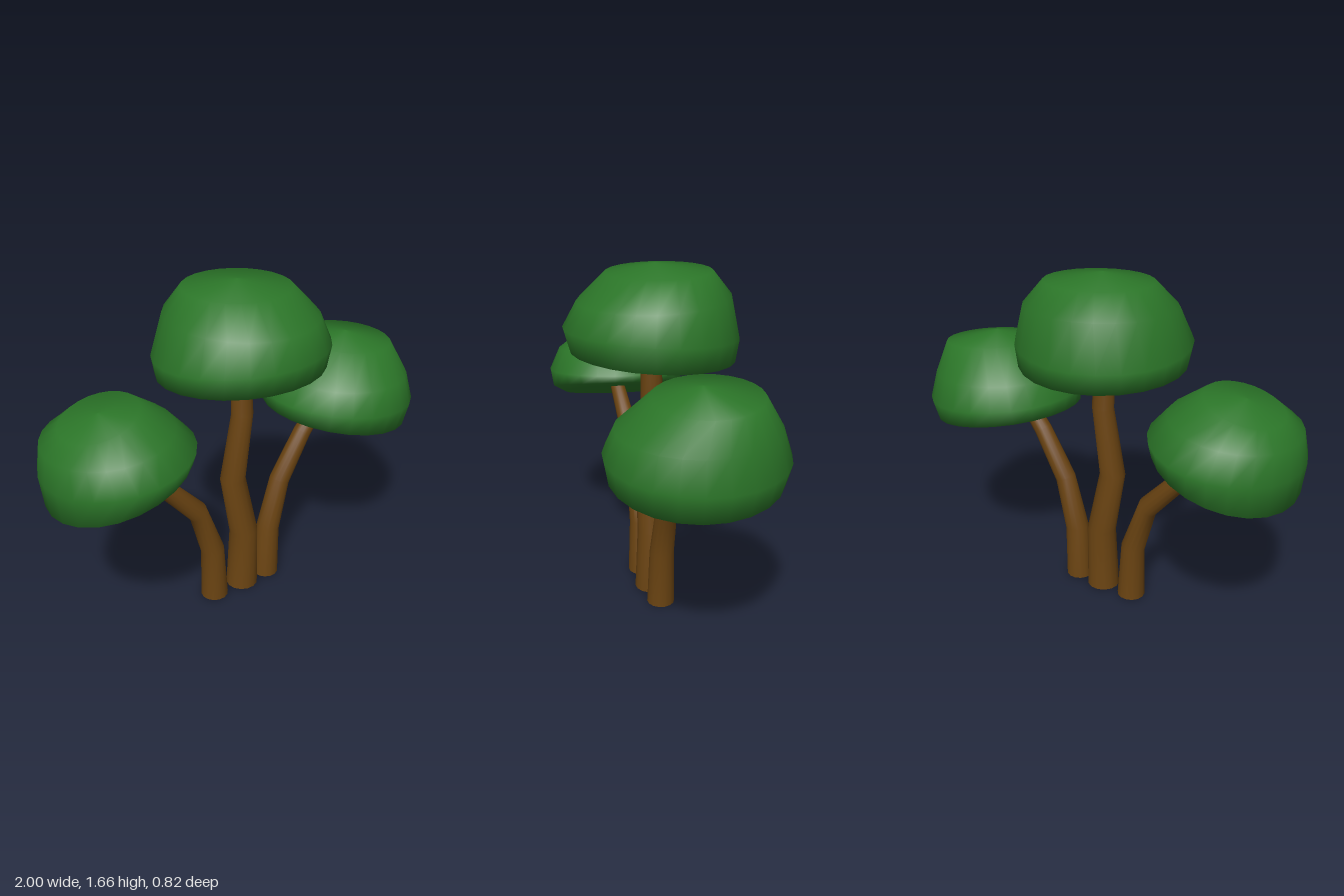
import * as THREE from 'three';

const bark = new THREE.MeshStandardMaterial({ color: 0x6b4412 });
const leaf = new THREE.MeshStandardMaterial({ color: 0x2b7528 });

// Skin a stack of elliptical rings; each ring has a centre c and half axes u and v.
function loft(rings, sides) {
  const pos = [], index = [];
  for (const { c, u, v } of rings) {
    for (let j = 0; j < sides; j++) {
      const a = (j / sides) * Math.PI * 2;
      for (let k = 0; k < 3; k++) pos.push(c[k] + u[k] * Math.cos(a) + v[k] * Math.sin(a));
    }
  }
  for (let i = 0; i < rings.length - 1; i++) {
    for (let j = 0; j < sides; j++) {
      const a = i * sides + j, b = i * sides + ((j + 1) % sides);
      index.push(a, a + sides, b, b, a + sides, b + sides);
    }
  }
  const geo = new THREE.BufferGeometry();
  geo.setAttribute('position', new THREE.Float32BufferAttribute(pos, 3));
  geo.setIndex(index);
  geo.computeVertexNormals();
  return geo;
}

// Bent, tapering trunk. Points are [x, y, radius, lean of the ring in radians].
function trunk(name, points) {
  const group = new THREE.Group();
  group.name = name;
  const rings = points.map(([x, y, r, t]) => ({
    c: [x, y, 0], u: [r * Math.cos(t), r * Math.sin(t), 0], v: [0, 0, r],
  }));
  const stem = new THREE.Mesh(loft(rings, 14), bark);
  stem.name = name + 'Stem';
  // flat foot
  const foot = new THREE.Mesh(new THREE.CircleGeometry(points[0][2], 14), bark);
  foot.name = name + 'Foot';
  foot.rotation.x = Math.PI / 2;
  foot.position.x = points[0][0];
  group.add(stem, foot);
  return group;
}

// Cap-shaped crown. Rings are [left x, left y, right x, right y, front z, back z, front rise].
function canopy(name, under, rows, apex) {
  const point = ([x, y, z]) => ({ c: [x, y, z], u: [1e-4, 0, 0], v: [0, 0, 1e-4] });
  const rings = rows.map(([xl, yl, xr, yr, zf, zb, rise]) => ({
    c: [(xl + xr) / 2, (yl + yr) / 2, (zf + zb) / 2],
    u: [(xr - xl) / 2, (yr - yl) / 2, 0],
    v: [0, rise, (zf - zb) / 2],
  }));
  const mesh = new THREE.Mesh(loft([point(under), ...rings, point(apex)], 24), leaf);
  mesh.name = name;
  return mesh;
}

export function createModel() {
  const model = new THREE.Group();
  model.name = 'tripleTree';

  model.add(
    trunk('middleTrunk', [
      [0.01, 0, 0.083, 0], [0.02, 0.33, 0.073, 0], [-0.045, 0.66, 0.064, 0],
      [0.012, 1.0, 0.054, 0], [0.003, 1.3, 0.048, 0],
    ]),
    trunk('rightTrunk', [
      [-0.165, 0, 0.07, 0], [-0.173, 0.285, 0.06, 0.2], [-0.255, 0.54, 0.053, 0.8],
      [-0.455, 0.765, 0.045, 0.92], [-0.65, 0.92, 0.037, 0.9],
    ]),
    trunk('leftTrunk', [
      [0.167, 0, 0.068, 0], [0.18, 0.285, 0.06, -0.15], [0.25, 0.55, 0.052, -0.42],
      [0.39, 0.785, 0.045, -0.65], [0.51, 0.94, 0.038, -0.7],
    ]),
  );

  model.add(
    canopy('middleCanopy', [0, 1.265, 0], [
      [-0.31, 1.235, 0.32, 1.225, 0.31, -0.31, 0.025],
      [-0.395, 1.235, 0.41, 1.245, 0.38, -0.39, 0.025],
      [-0.41, 1.33, 0.42, 1.36, 0.41, -0.41, 0.03],
      [-0.345, 1.51, 0.375, 1.5, 0.345, -0.365, -0.015],
      [-0.25, 1.625, 0.265, 1.62, 0.21, -0.28, -0.005],
    ], [0, 1.66, -0.02]),
    canopy('rightCanopy', [-0.62, 0.895, 0], [
      [-0.89, 0.77, -0.39, 0.965, 0.28, -0.28, 0.02],
      [-0.985, 0.8, -0.325, 1.0, 0.345, -0.355, 0.02],
      [-1.0, 0.95, -0.31, 1.04, 0.36, -0.37, 0.01],
      [-0.98, 1.08, -0.4, 1.14, 0.3, -0.32, 0],
      [-0.9, 1.145, -0.55, 1.245, 0.18, -0.2, 0],
    ], [-0.73, 1.22, 0]),
    canopy('leftCanopy', [0.54, 0.91, 0], [
      [0.3, 0.92, 0.88, 0.805, 0.28, -0.32, -0.02],
      [0.235, 0.93, 0.965, 0.82, 0.365, -0.385, -0.01],
      [0.23, 1.0, 0.995, 0.94, 0.385, -0.405, 0],
      [0.29, 1.1, 0.96, 1.08, 0.34, -0.36, 0],
      [0.43, 1.25, 0.91, 1.215, 0.2, -0.26, -0.01],
    ], [0.66, 1.275, -0.01]),
  );
  return model;
}
